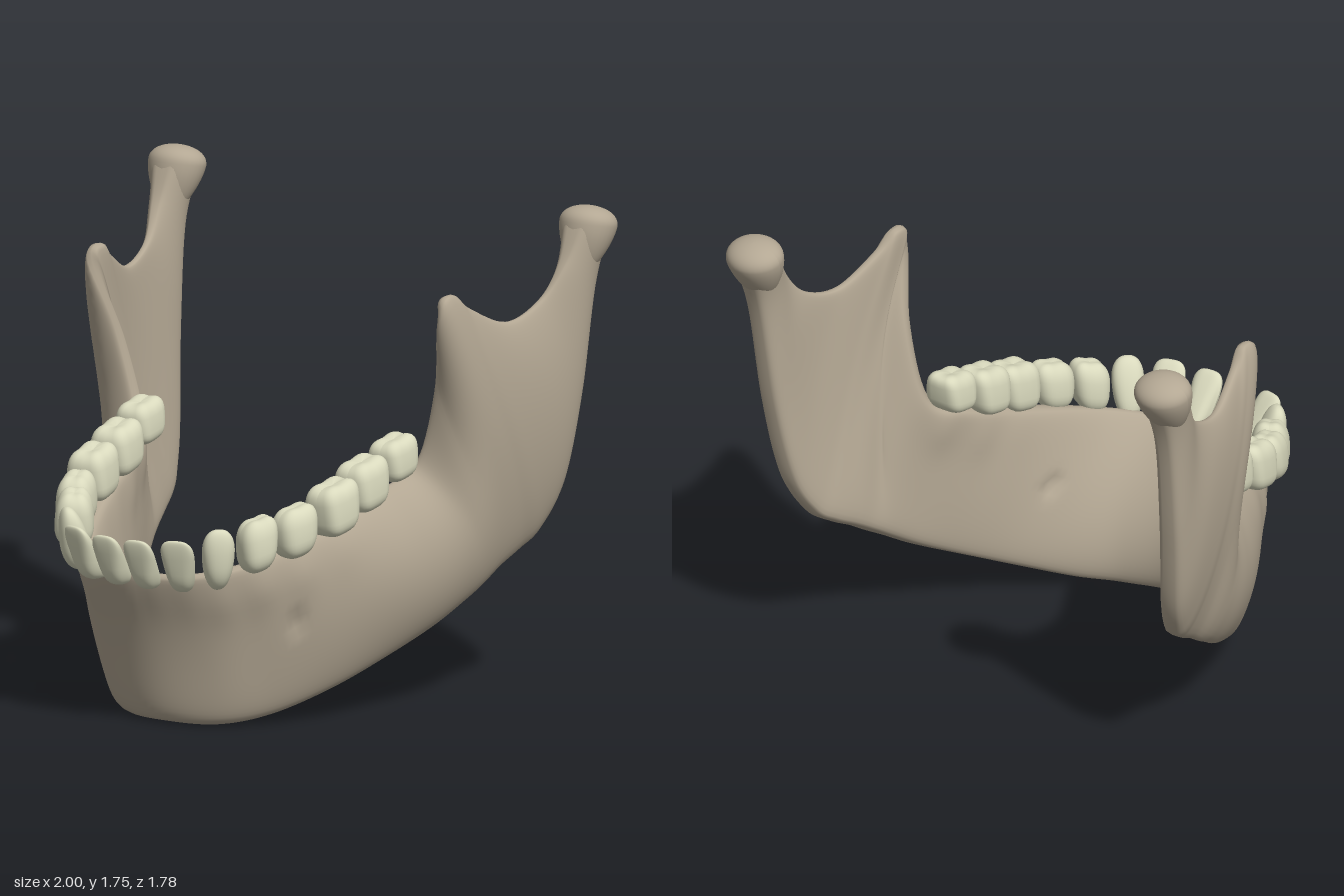
import * as THREE from 'three';

const V = (a) => new THREE.Vector3(...a);
const bone = new THREE.MeshStandardMaterial({ color: 0xb3a793 });
bone.name = 'bone';
const enamel = new THREE.MeshStandardMaterial({ color: 0xd9d9bd });
enamel.name = 'enamel';

// Stations from the middle of the chin to the left condyle: lower edge,
// middle, upper edge, and half thickness at those three heights
const LOWER = [[0, 0, .57], [.18, 0, .52], [.32, .035, .39], [.45, .115, .21], [.555, .21, .02],
  [.63, .3, -.15], [.68, .375, -.27], [.705, .425, -.35], [.725, .475, -.43], [.75, .525, -.52],
  [.785, .585, -.595], [.83, .74, -.675], [.87, 1.05, -.735], [.89, 1.45, -.795], [.89, 1.66, -.865]];
const MIDDLE = [[0, .28, .605], [.19, .28, .56], [.32, .3, .46], [.445, .38, .315], [.56, .48, .12],
  [.65, .57, -.07], [.71, .68, -.2], [.755, .8, -.24], [.785, .95, -.27], [.805, 1, -.33],
  [.825, 1.02, -.4], [.855, 1.1, -.53], [.87, 1.27, -.64], [.885, 1.51, -.71], [.89, 1.68, -.785]];
const UPPER = [[0, .57, .745], [.19, .58, .72], [.325, .61, .62], [.415, .66, .46], [.495, .73, .24],
  [.54, .81, .02], [.6, .9, -.13], [.685, 1.2, -.13], [.75, 1.48, -.045], [.757, 1.53, -.11],
  [.775, 1.47, -.19], [.82, 1.39, -.37], [.85, 1.44, -.54], [.88, 1.56, -.64], [.89, 1.7, -.705]];
const HALF = [[.085, .075, .035], [.08, .075, .035], [.072, .07, .045], [.07, .075, .055], [.065, .088, .06],
  [.07, .09, .055], [.075, .08, .048], [.075, .065, .045], [.075, .06, .048], [.075, .055, .045],
  [.075, .055, .035], [.075, .055, .028], [.065, .052, .025], [.058, .058, .035], [.07, .08, .07]];

// Teeth of one side: x, z, low y, high y, width, depth, yaw, kind
const TEETH = [
  [.067, .83, .53, .725, .135, .11, .05, 'incisor'],
  [.205, .8, .53, .735, .14, .11, .28, 'incisor'],
  [.312, .715, .54, .77, .135, .12, .75, 'canine'],
  [.395, .59, .6, .8, .15, .14, 1.05, 'premolar'],
  [.472, .463, .64, .83, .17, .14, 1.25, 'premolar'],
  [.518, .29, .7, .89, .185, .165, 1.45, 'molar'],
  [.53, .12, .76, .945, .185, .168, 1.5, 'molar'],
  [.547, -.055, .84, .995, .175, .15, 1.54, 'molar'],
];

// Mirrors the stations so that one curve runs from the right to the left end
function fullCurve(rows, flip) {
  const right = rows.slice(1).reverse().map(([a, b, c]) => V([flip * a, b, c]));
  return new THREE.CatmullRomCurve3([...right, ...rows.map(V)], false, 'catmullrom', 0.5);
}

function jawGeometry() {
  const curves = [fullCurve(LOWER, -1), fullCurve(MIDDLE, -1), fullCurve(UPPER, -1)];
  const half = fullCurve(HALF, 1);
  const NU = 28 * 8, NR = 52, pos = [], index = [];
  const weights = (v) => [(1 - v) * (1 - 2 * v), 4 * v * (1 - v), v * (2 * v - 1)];
  const blend = (pts, v) => {
    const w = weights(v), p = new THREE.Vector3();
    pts.forEach((q, i) => p.addScaledVector(q, w[i]));
    return p;
  };
  const at = (u) => curves.map((c) => c.getPoint(THREE.MathUtils.clamp(u, 0, 1)));
  // Small nerve openings outside and inside the body
  const pits = [V([.45, .39, .42]), V([.375, .41, .32])];
  for (let i = 0; i <= NU; i++) {
    const u = i / NU, here = at(u), before = at(u - .004), after = at(u + .004);
    const h = half.getPoint(u);
    for (let j = 0; j < NR; j++) {
      const a = (j / NR) * Math.PI * 2, s = Math.sin(a);
      const v = .5 - .5 * Math.cos(a), w = weights(v);
      const p = blend(here, v);
      const su = blend(after, v).sub(blend(before, v));
      const sv = blend(here, v + .01).sub(blend(here, v - .01));
      const n = su.cross(sv).normalize();
      const side = Math.sign(s) * Math.pow(Math.abs(s), .52);
      p.addScaledVector(n, side * (h.x * w[0] + h.y * w[1] + h.z * w[2]));
      // Root swellings below the teeth, and the pits
      const q = V([Math.abs(p.x), p.y, p.z]);
      let push = 0;
      for (const [x, z, low] of TEETH) {
        push += .014 * Math.exp(-((q.x - x) ** 2 + (q.z - z + .04) ** 2) / .004 - ((q.y - low + .07) / .09) ** 2);
      }
      for (const c of pits) push -= .03 * Math.exp(-q.distanceToSquared(c) / .0008);
      p.addScaledVector(n, push * side);
      pos.push(p.x, p.y, p.z);
      if (i < NU) {
        const k = (j + 1) % NR, A = i * NR + j, B = i * NR + k;
        index.push(A, B + NR, B, A, A + NR, B + NR);
      }
    }
  }
  const g = new THREE.BufferGeometry();
  g.setAttribute('position', new THREE.Float32BufferAttribute(pos, 3));
  g.setIndex(index);
  g.computeVertexNormals();
  return g;
}

// Reshapes a unit sphere by a rule on each vertex
function shapedSphere(rule, nu = 32, nv = 24) {
  const g = new THREE.SphereGeometry(1, nu, nv);
  const P = g.attributes.position, p = new THREE.Vector3();
  for (let i = 0; i < P.count; i++) {
    rule(p.fromBufferAttribute(P, i));
    P.setXYZ(i, p.x, p.y, p.z);
  }
  g.computeVertexNormals();
  return g;
}

function toothGeometry(kind, w, height, d, side) {
  const power = { incisor: .65, canine: .85, premolar: .7, molar: .55 }[kind];
  const sq = (t) => Math.sign(t) * Math.pow(Math.abs(t), power);
  return shapedSphere((p) => {
    let x = sq(p.x), y = sq(p.y), z = sq(p.z);
    const k = (y + 1) / 2;
    if (kind === 'incisor') {
      // Narrow neck, narrow back, broad thin biting edge leaning outward
      x *= (.6 + .42 * k) * (1 + .3 * Math.min(z, 0));
      z = z * (1.2 - .85 * k) + 1.9 * (k - .5);
    } else if (kind === 'canine') {
      x *= .7 + .3 * k;
      z = z * (1.1 - .45 * k) + .8 * (k - .5);
    } else {
      // Shallow grooves between the cusps, and a chewing face rising to the back
      const top = Math.max(0, y), cut = kind === 'molar' ? .08 : .06;
      y -= top * cut * (Math.exp(-((x / .3) ** 2)) + Math.exp(-((z / .3) ** 2)));
      x *= .74 + .26 * Math.sqrt(k);
      z *= 1.05 - .2 * k * k;
      y += .2 * x * side;
    }
    p.set(x * w / 2, y * height / 2, z * d / 2);
  }, 28, 20);
}

export function createModel() {
  const model = new THREE.Group();
  model.name = 'lowerJaw';
  const add = (name, geometry, material, parent = model) => {
    const mesh = new THREE.Mesh(geometry, material);
    mesh.name = name;
    parent.add(mesh);
    return mesh;
  };
  add('jawBone', jawGeometry(), bone);

  for (const side of [1, -1]) {
    const label = side > 0 ? 'left' : 'right';

    // Joint head, rounded on top and tapering far down into the neck
    const head = add(label + 'Condyle', shapedSphere((p) => {
      if (p.y > 0) p.set(p.x * .108, Math.pow(p.y, .85) * .068, p.z * .098);
      else {
        const f = 1 - .35 * Math.pow(-p.y, 1.3);
        p.set(p.x * .108 * f, p.y * .19, p.z * .098 * f - p.y * .02);
      }
    }), bone);
    head.position.set(.89 * side, 1.68, -.795);
    head.rotation.x = -.2;

    const row = new THREE.Group();
    row.name = label + 'Teeth';
    model.add(row);
    TEETH.forEach(([x, z, low, high, w, d, yaw, kind], i) => {
      const tooth = add(`${label}Tooth${i + 1}`, toothGeometry(kind, w, high - low, d, side), enamel, row);
      tooth.position.set(x * side, (low + high) / 2, z);
      tooth.rotation.y = yaw * side;
    });
  }
  return model;
}
